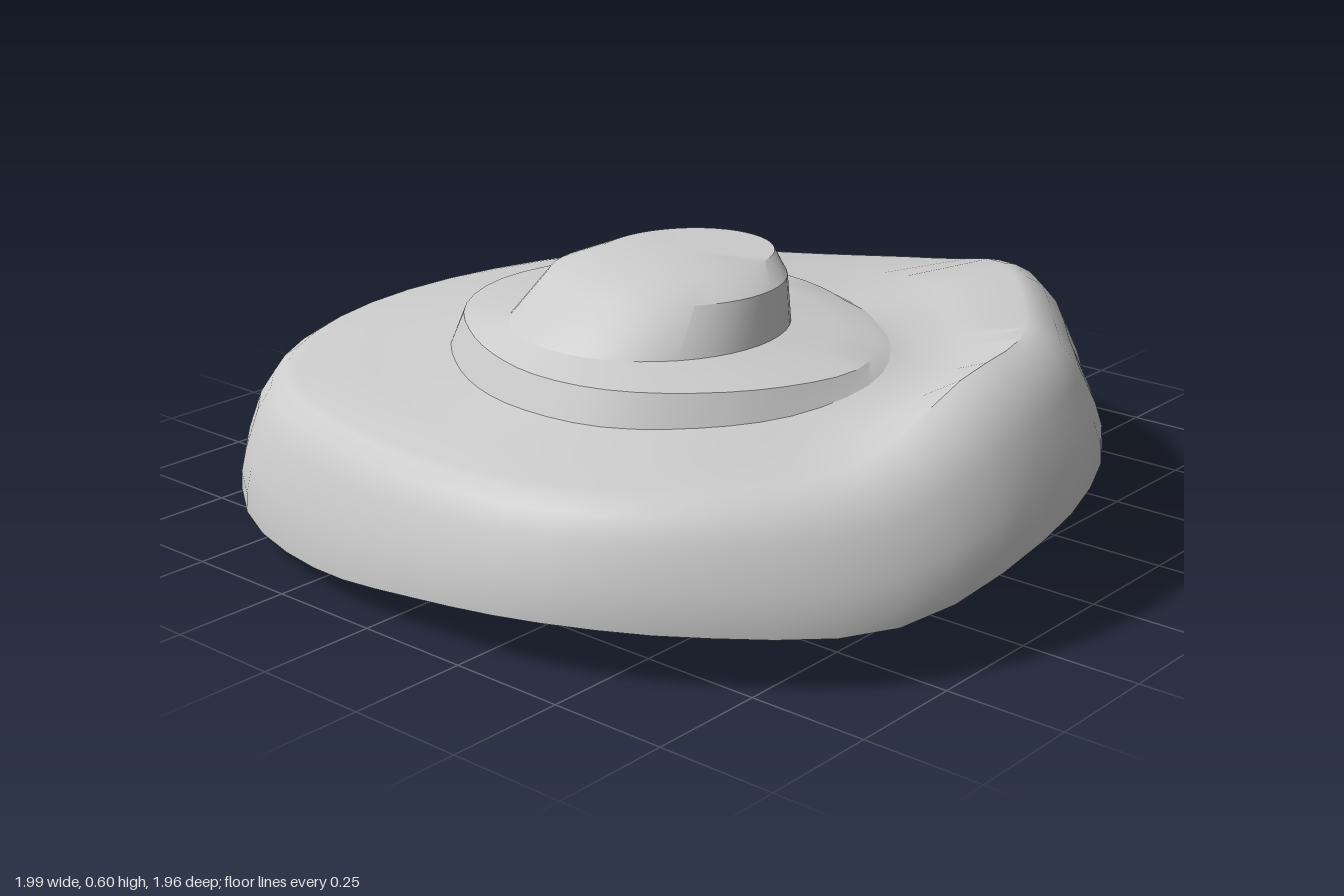
import * as THREE from 'three';
import { toCreasedNormals } from 'three/addons/utils/BufferGeometryUtils.js';

const SEG = 48;
const CX = 0.1, CZ = 0.2;

// Values every 22.5 degrees, running from +x towards +z
const RADIUS = [0.9, 0.89, 0.83, 0.8, 0.775, 0.81, 0.91, 1.0, 1.08, 1.15, 1.23, 1.26, 1.11, 0.965, 0.87, 0.885];
const RIM_Y = [0.2, 0.12, 0.115, 0.115, 0.09, 0.055, 0.055, 0.075, 0.095, 0.085, 0.05, 0.005, 0.13, 0.25, 0.245, 0.24];
const SHOULDER_Y = [0.478, 0.375, 0.35, 0.34, 0.33, 0.33, 0.33, 0.315, 0.31, 0.31, 0.31, 0.31, 0.385, 0.472, 0.465, 0.482];
const INSET = [1.55, 1.35, 1.1, 1, 1, 1, 1, 1, 1, 1, 1, 1.1, 1.15, 1.2, 1.2, 1.4];
const STEP_RADIUS = [0.49, 0.48, 0.47, 0.47, 0.46, 0.45, 0.465, 0.51, 0.55, 0.56, 0.56, 0.49, 0.45, 0.42, 0.41, 0.45];
const STEP_Y = [0.42, 0.395, 0.385, 0.38, 0.38, 0.375, 0.375, 0.375, 0.38, 0.39, 0.4, 0.41, 0.42, 0.43, 0.44, 0.435];
const DIP = [0.02, 0.01, 0, 0, 0, 0, 0, 0, 0, 0, 0, 0, 0, 0.005, 0.01, 0.02];
const CEILING_RADIUS = [0.53, 0.52, 0.5, 0.5, 0.49, 0.5, 0.55, 0.59, 0.64, 0.68, 0.72, 0.74, 0.68, 0.58, 0.53, 0.53];

// Periodic Catmull-Rom lookup, u in 0..1
function sample(table, u) {
  const n = table.length, f = u * n, i = Math.floor(f), t = f - i;
  const [a, b, c, d] = [-1, 0, 1, 2].map((k) => table[(i + k + n) % n]);
  return b + 0.5 * t * (c - a + t * (2 * a - 5 * b + 4 * c - d + t * (3 * (b - c) + d - a)));
}

// Ring around the shell axis, with radius and height given as functions of u
const polarRing = (radius, height) => (u) => {
  const r = radius(u), a = u * Math.PI * 2;
  return [CX + r * Math.cos(a), height(u), CZ + r * Math.sin(a)];
};

// Ring pulled in from the outline, further where the wall leans more
const wallRing = (inset, height) =>
  polarRing((u) => sample(RADIUS, u) * (1 - inset * sample(INSET, u)), height);

const ellipseRing = (x, z, rx, rz, y) => (u) => {
  const a = u * Math.PI * 2;
  return [x + rx * Math.cos(a), y, z + rz * Math.sin(a)];
};

// Point-by-point blend of two rings, lowered by drop(u)
const blendRing = (p, q, t, drop) => (u) => {
  const a = p(u), b = q(u);
  return [0, 1, 2].map((k) => a[k] + (b[k] - a[k]) * t - (k === 1 ? drop(u) : 0));
};

// Skin a list of rings; edges sharper than the crease angle stay hard
function loft(name, rings, material, crease = 0.55) {
  const pos = [], index = [];
  for (const ring of rings) {
    for (let j = 0; j < SEG; j++) pos.push(...ring(j / SEG));
  }
  for (let i = 0; i < rings.length - 1; i++) {
    for (let j = 0; j < SEG; j++) {
      const k = (j + 1) % SEG;
      const a = i * SEG + j, b = i * SEG + k, c = a + SEG, d = b + SEG;
      index.push(a, c, b, b, c, d);
    }
  }
  const geo = new THREE.BufferGeometry();
  geo.setAttribute('position', new THREE.Float32BufferAttribute(pos, 3));
  geo.setIndex(index);
  const mesh = new THREE.Mesh(toCreasedNormals(geo, crease), material);
  mesh.name = name;
  return mesh;
}

export function createModel() {
  const group = new THREE.Group();
  group.name = 'shell';
  const material = new THREE.MeshStandardMaterial({ color: 0xcccccc });

  const rimY = (u) => sample(RIM_Y, u);
  const topY = (u) => sample(SHOULDER_Y, u);
  const stepY = (u) => sample(STEP_Y, u);
  const dip = (u) => sample(DIP, u);
  const wall = (f) => (u) => rimY(u) + (topY(u) - rimY(u)) * f;
  const stepRadius = (offset) => (u) => sample(STEP_RADIUS, u) - offset;

  // Rings shared between neighbouring parts
  const rim = wallRing(0, rimY);
  const shoulder = wallRing(0.115, wall(0.97));
  const stepBase = polarRing(stepRadius(0), stepY);
  const stepTop = polarRing(stepRadius(0.03), (u) => Math.max(0.445, stepY(u) + 0.01));
  const capBase = ellipseRing(0.08, 0.27, 0.29, 0.29, 0.472);

  // Hollow underside: flat ceiling, faceted inner slope, thin lip
  group.add(loft('underside', [
    ellipseRing(CX, CZ, 0, 0, 0.28),
    polarRing((u) => sample(CEILING_RADIUS, u), () => 0.28),
    wallRing(0.035, (u) => rimY(u) + 0.01),
    rim,
  ], material, 0.02));

  // Curved outer wall and sloping upper face, with a valley beside the raised edge
  group.add(loft('brim', [
    rim,
    wallRing(0.002, wall(0.15)),
    wallRing(0.015, wall(0.35)),
    wallRing(0.047, wall(0.68)),
    wallRing(0.08, wall(0.87)),
    shoulder,
    wallRing(0.14, topY),
    blendRing(shoulder, stepBase, 0.5, dip),
    blendRing(shoulder, stepBase, 0.8, dip),
    stepBase,
  ], material));

  // Low terrace around the cap
  group.add(loft('terrace', [
    stepBase,
    stepTop,
    blendRing(stepTop, capBase, 0.5, () => 0),
    capBase,
  ], material));

  // Central cap with a flat top
  group.add(loft('cap', [
    capBase,
    ellipseRing(0.09, 0.225, 0.25, 0.24, 0.562),
    ellipseRing(0.1, 0.18, 0.175, 0.195, 0.597),
    ellipseRing(0.1, 0.18, 0, 0, 0.6),
  ], material));

  return group;
}
